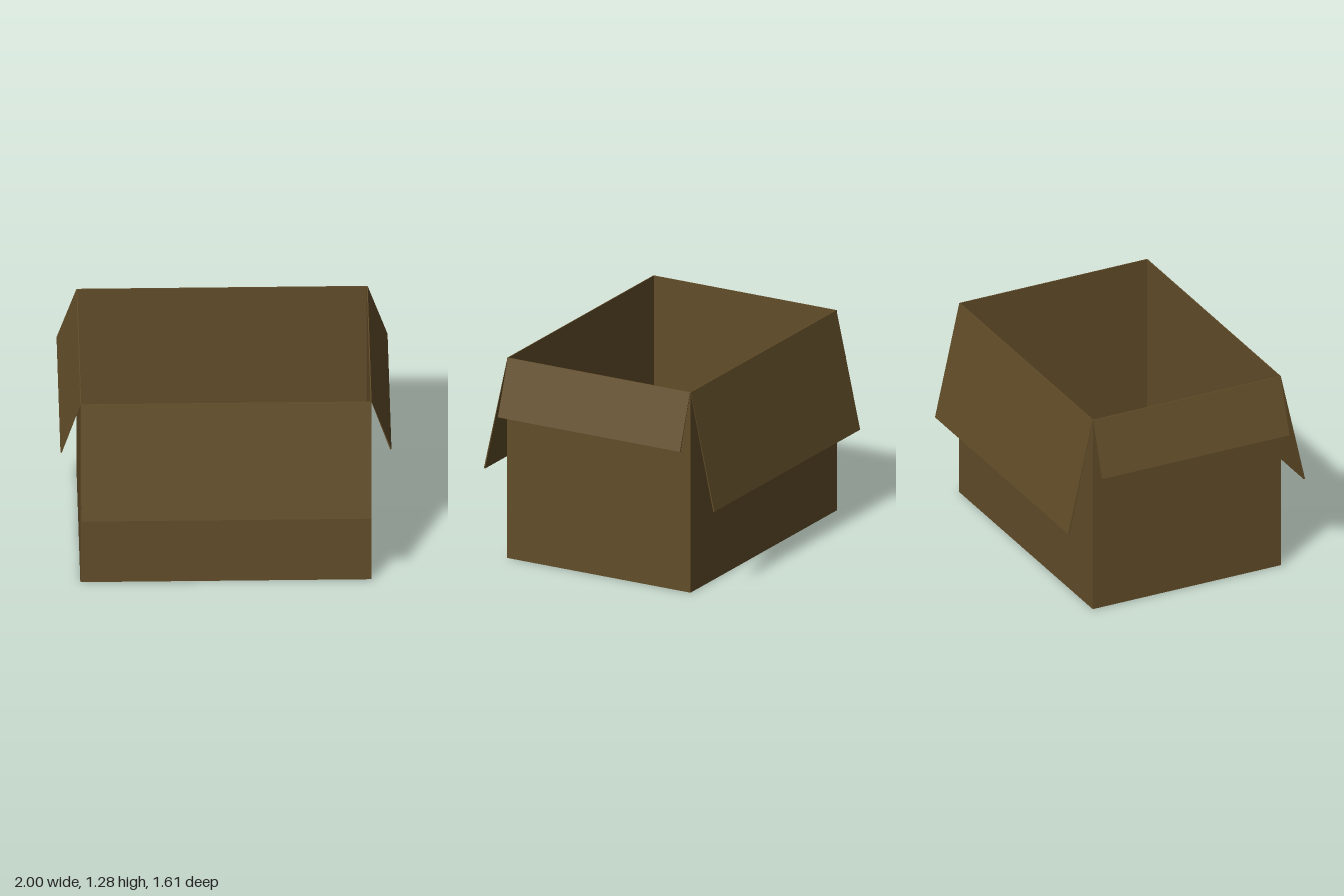
import * as THREE from 'three';

const HEIGHT = 1.28, HALF_X = 0.88, HALF_Z = 0.64, THICK = 0.006;

// Folded-down flap hanging from a hinge at the origin, leaning out along +x
function flapGeometry(width, out, drop) {
  const profile = new THREE.Shape();
  profile.moveTo(0, 0);
  profile.lineTo(-0.002, -0.001);
  profile.lineTo(out - 0.008, -drop - 0.002);
  profile.lineTo(out, -drop);
  profile.closePath();
  const geometry = new THREE.ExtrudeGeometry(profile, { depth: width, bevelEnabled: false });
  return geometry.translate(0, 0, -width / 2);
}

export function createModel() {
  const model = new THREE.Group();
  model.name = 'openCardboardBox';
  const cardboard = new THREE.MeshStandardMaterial({ color: 0x624d29 });
  cardboard.name = 'brown cardboard';

  const add = (parent, name, geometry, x, y) => {
    const mesh = new THREE.Mesh(geometry, cardboard);
    mesh.name = name;
    mesh.position.set(x, y, 0);
    parent.add(mesh);
  };

  // Bottom panel
  add(model, 'floor', new THREE.BoxGeometry(HALF_X * 2, THICK, HALF_Z * 2), 0, THICK / 2);

  // Four walls, each with its flap; sides run left, back, right, front
  ['left', 'back', 'right', 'front'].forEach((label, i) => {
    const long = i % 2 === 1;
    const reach = long ? HALF_Z : HALF_X;
    const width = long ? HALF_X * 2 : HALF_Z * 2 - THICK * 2;
    const side = new THREE.Group();
    side.name = label + 'Side';
    side.rotation.y = i * Math.PI / 2;
    add(side, label + 'Wall', new THREE.BoxGeometry(THICK, HEIGHT - THICK, width),
      reach - THICK / 2, (HEIGHT + THICK) / 2);
    const flap = long ? flapGeometry(HALF_X * 2 - 0.006, 0.165, 0.735)
      : flapGeometry(HALF_Z * 2 - 0.008, 0.12, 0.345);
    add(side, label + 'Flap', flap, reach, HEIGHT);
    model.add(side);
  });
  return model;
}
